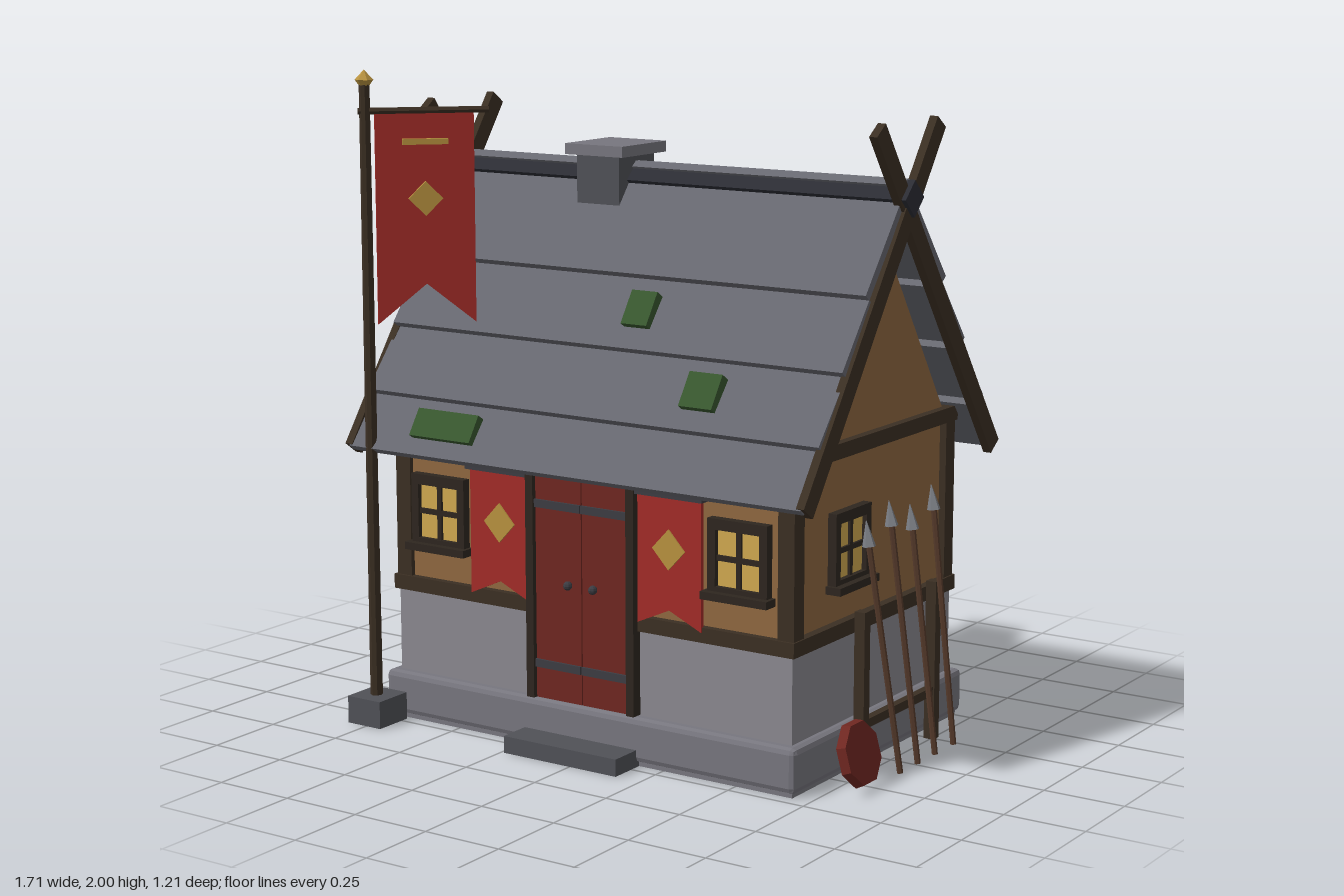
import * as THREE from 'three';
import { RoundedBoxGeometry } from 'three/addons/geometries/RoundedBoxGeometry.js';

const CX = -0.035, CZ = -0.025; // centre of the house itself

export function createModel() {
  const root = new THREE.Group();
  const mat = (color, extra = {}) => new THREE.MeshStandardMaterial({ color, flatShading: true, ...extra });
  const M = {
    stone: mat(0x77767e), paleStone: mat(0x8a888f), slate: mat(0x676870), ridge: mat(0x2b2c34),
    chimney: mat(0x505157), plaster: mat(0x8f6840), timber: mat(0x3b2f23), dark: mat(0x2e261f),
    door: mat(0x6f2721), iron: mat(0x3c3c42), red: mat(0xa32c28, { side: THREE.DoubleSide }),
    gold: mat(0xb8923f), glass: mat(0xd0a850), moss: mat(0x38572f), spear: mat(0x54392a), steel: mat(0x7c7f86),
  };
  const add = (name, geo, m, p = [0, 0, 0], parent = root) => {
    const mesh = new THREE.Mesh(geo, m);
    mesh.name = name;
    mesh.position.set(...p);
    parent.add(mesh);
    return mesh;
  };
  const group = (name, p = [0, 0, 0], ry = 0) => {
    const g = new THREE.Group();
    g.name = name;
    g.position.set(...p);
    g.rotation.y = ry;
    root.add(g);
    return g;
  };
  // box from its min and max on each axis
  const span = (name, m, x0, x1, y0, y1, z0, z1, parent = root) =>
    add(name, new THREE.BoxGeometry(x1 - x0, y1 - y0, z1 - z0), m,
      [(x0 + x1) / 2, (y0 + y1) / 2, (z0 + z1) / 2], parent);
  // board running from low to high [z, y], w along x, t thick
  const board = (name, m, x, w, t, [z0, y0], [z1, y1]) => {
    const b = add(name, new THREE.BoxGeometry(w, Math.hypot(z1 - z0, y1 - y0), t), m, [x, (y0 + y1) / 2, (z0 + z1) / 2]);
    b.rotation.x = Math.atan2(z1 - z0, y1 - y0);
    return b;
  };
  // round rod between two points
  const rod = (name, m, a, b, r0, r1, parent = root, sides = 6) => {
    const A = new THREE.Vector3(...a), d = new THREE.Vector3(...b).sub(A);
    const mesh = add(name, new THREE.CylinderGeometry(r1, r0, d.length(), sides), m,
      A.clone().addScaledVector(d, 0.5).toArray(), parent);
    mesh.quaternion.setFromUnitVectors(new THREE.Vector3(0, 1, 0), d.normalize());
    return mesh;
  };
  const plate = (name, m, pts, depth, p, parent) =>
    add(name, new THREE.ExtrudeGeometry(new THREE.Shape(pts.map(q => new THREE.Vector2(...q))),
      { depth, bevelEnabled: false }), m, p, parent);
  const diamond = (w, h) => [[0, -h], [w, 0], [0, h], [-w, 0]];
  const swallowtail = (w, h, notch) => [[-w, 0], [-w, -h], [0, -h + notch], [w, -h], [w, 0]];

  // Foundation, walls and gable
  add('foundation', new RoundedBoxGeometry(1.48, 0.135, 1.0, 1, 0.018), M.stone, [CX, 0.08, CZ]);
  span('foundationFoot', M.stone, -0.76, 0.69, 0, 0.04, -0.51, 0.46);
  span('stoneWall', M.paleStone, -0.74, 0.675, 0.14, 0.41, -0.485, 0.44);
  span('doorStep', M.chimney, -0.24, 0.165, 0, 0.052, 0.44, 0.58);
  span('plasterWall', M.plaster, -0.73, 0.66, 0.4, 0.96, -0.475, 0.43);
  const gable = plate('gable', M.plaster, [[-0.44, 0.95], [0.44, 0.95], [0, 1.61]], 1.39, [-0.73, 0, CZ]);
  gable.rotation.y = Math.PI / 2;

  // Timber frame
  for (const [y0, y1] of [[0.405, 0.45], [0.935, 0.98]]) {
    for (const z of [0.428, -0.473]) span('longBeam', M.timber, -0.75, 0.685, y0, y1, z - 0.025, z + 0.025);
    for (const x of [-0.727, 0.662]) span('crossBeam', M.timber, x - 0.025, x + 0.025, y0, y1, -0.498, 0.453);
  }
  for (const x of [-0.717, 0.655])
    for (const z of [0.418, -0.463])
      span('cornerPost', M.timber, x - 0.027, x + 0.027, 0.43, 0.95, z - 0.027, z + 0.027);
  span('backPost', M.timber, CX - 0.025, CX + 0.025, 0.43, 0.95, -0.49, -0.45);

  // Roof: four overlapping courses on each slope, given as [distance from ridge, height]
  const edges = [[0.58, 0.86], [0.485, 1.02], [0.36, 1.21], [0.235, 1.41], [0, 1.72]];
  for (const s of [1, -1]) {
    for (let i = 0; i < 4; i++) {
      const inset = ([d, y], k) => [CZ + s * (d - 0.82 * k), y - 0.57 * k];
      board('roofCourse', M.slate, CX, 1.6, 0.026, inset(edges[i], 0.013), inset(edges[i + 1], i < 3 ? 0.038 : 0.02));
    }
    // crossed bargeboards at both ends
    for (const x of [-0.84, 0.762])
      board('bargeboard', M.timber, x + s * 0.002, 0.026, 0.06, [CZ + s * 0.555, 0.848], [CZ - s * 0.172, 1.868]);
  }
  const ridge = add('ridgeBeam', new THREE.BoxGeometry(1.645, 0.076, 0.076), M.ridge, [CX, 1.662, CZ]);
  ridge.rotation.x = Math.PI / 4;
  span('chimney', M.chimney, -0.325, -0.17, 1.56, 1.74, -0.115, 0.07);
  span('chimneyCap', M.stone, -0.355, -0.145, 1.735, 1.768, -0.145, 0.09);
  for (const [x, y, z, w, h] of [[0.045, 1.315, 0.265, 0.09, 0.11], [0.342, 1.12, 0.392, 0.112, 0.11], [-0.503, 0.943, 0.498, 0.225, 0.09]]) {
    const m = add('mossPatch', new THREE.BoxGeometry(w, h, 0.035), M.moss, [x, y, z]);
    m.rotation.x = -0.58;
  }

  // Windows, built facing +z
  const addWindow = (p, ry, back) => {
    const g = group('window', p, ry);
    const w = back ? 0.085 : 0.1, h = 0.115;
    span('glass', M.glass, -w + 0.02, w - 0.02, -h + 0.02, h - 0.02, -0.01, 0.012, g);
    for (const s of [-1, 1]) {
      span('frameSide', M.dark, s * (w - 0.013) - 0.013, s * (w - 0.013) + 0.013, -h, h, -0.01, 0.028, g);
      span('frameRail', M.dark, -w, w, s * (h - 0.016) - 0.016, s * (h - 0.016) + 0.016, -0.01, 0.028, g);
    }
    span('mullion', M.dark, -0.008, 0.008, -h, h, -0.01, 0.02, g);
    if (back) return;
    span('crossbar', M.dark, -w, w, -0.008, 0.008, -0.01, 0.02, g);
    span('sill', M.dark, -0.112, 0.112, -h - 0.005, -h + 0.018, -0.01, 0.05, g);
  };
  for (const x of [-0.575, 0.5]) addWindow([x, 0.662, 0.43], 0, false);
  addWindow([0.66, 0.662, 0.125], Math.PI / 2, false);
  for (const x of [-0.385, 0.315]) addWindow([x, 0.662, -0.475], Math.PI, true);

  // Double door with straps and knobs, and a hanging on each side
  span('doorLintel', M.dark, -0.23, 0.155, 0.85, 0.885, 0.42, 0.475);
  for (const s of [-1, 1]) {
    const x = CX - 0.0025 + s * 0.085;
    span('doorLeaf', M.door, x - 0.083, x + 0.083, 0.15, 0.86, 0.42, 0.46);
    const px = CX - 0.0025 + s * 0.18;
    span('doorPost', M.dark, px - 0.0135, px + 0.0135, 0.15, 0.88, 0.42, 0.475);
    for (const y of [0.257, 0.745]) span('doorStrap', M.iron, x - 0.083, x + 0.083, y - 0.012, y + 0.012, 0.455, 0.468);
    add('doorKnob', new THREE.SphereGeometry(0.014, 8, 6), M.iron, [CX - 0.0025 + s * 0.045, 0.51, 0.468]);
    const g = group('wallHanging', [CX + s * 0.304, 0.83, 0.445]);
    span('hangingRail', M.iron, -0.12, 0.12, -0.012, 0.012, -0.02, 0.025, g);
    plate('hangingCloth', M.red, swallowtail(0.11, 0.395, 0.05), 0.012, [0, 0, 0], g);
    plate('hangingDiamond', M.gold, diamond(0.056, 0.06), 0.006, [0, -0.165, 0.011], g);
  }

  // Flagpole with a pennant turned 45 degrees
  span('poleFoot', M.chimney, -0.82, -0.695, 0, 0.085, 0.475, 0.605);
  rod('pole', M.timber, [-0.76, 0.08, 0.54], [-0.76, 1.96, 0.54], 0.019, 0.016, root, 8);
  add('finialTop', new THREE.ConeGeometry(0.028, 0.03, 6), M.gold, [-0.76, 1.985, 0.54]);
  add('finialBase', new THREE.CylinderGeometry(0.028, 0.015, 0.018, 6), M.gold, [-0.76, 1.961, 0.54]);
  const flag = group('flag', [-0.76, 1.877, 0.54], Math.PI / 4);
  rod('flagArm', M.timber, [-0.02, 0, 0], [0.37, 0, 0], 0.011, 0.011, flag);
  plate('flagCloth', M.red, swallowtail(0.148, 0.64, 0.12), 0.012, [0.176, 0, -0.006], flag);
  span('flagBar', M.gold, 0.108, 0.245, -0.1, -0.083, 0.004, 0.024, flag);
  plate('flagDiamond', M.gold, diamond(0.052, 0.052), 0.012, [0.176, -0.262, 0.006], flag);

  // Spear rack
  for (const z of [0.17, -0.255]) span('rackPost', M.timber, 0.728, 0.762, 0, 0.49, z - 0.016, z + 0.016);
  span('rackRail', M.timber, 0.733, 0.757, 0.138, 0.165, -0.255, 0.17);
  for (const [z0, z1, h] of [[0.105, 0.14, 0.75], [0, 0.01, 0.785], [-0.105, -0.116, 0.75], [-0.22, -0.245, 0.785]]) {
    const foot = [0.84, 0.005, z0], neck = [0.747, h - 0.075, z1], tip = [0.736, h, z1];
    rod('spearShaft', M.spear, foot, neck, 0.009, 0.009);
    rod('spearHead', M.steel, neck, tip, 0.021, 0.001, root, 5);
  }

  // Octagonal shield leaning by the rack
  const shield = group('shield', [0.808, 0.108, 0.287]);
  shield.rotation.z = 0.27;
  const disc = add('shieldDisc', new THREE.CylinderGeometry(0.094, 0.1, 0.028, 8).rotateY(Math.PI / 8), M.door, [0, 0, 0], shield);
  disc.rotation.z = -Math.PI / 2;
  return root;
}
